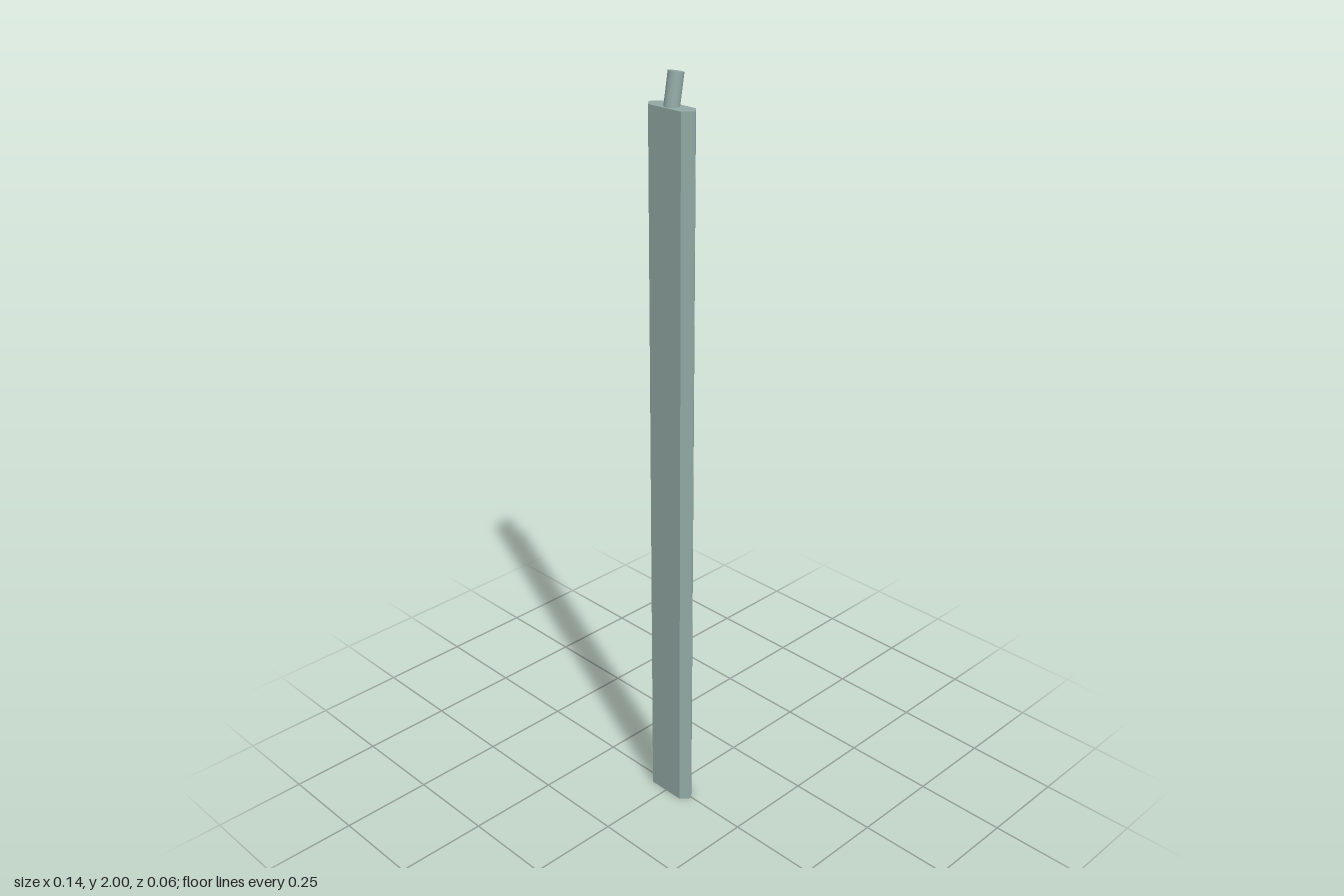
import * as THREE from 'three';

export function createModel() {
  const model = new THREE.Group();
  const material = new THREE.MeshStandardMaterial({ color: 0x92a9a5 });

  // Long bar: chamfered flat section, extruded upward (shape y becomes -z)
  const section = new THREE.Shape([
    [-0.053, -0.028], [0.053, -0.028], [0.072, -0.0075], [0.072, -0.0005],
    [0.053, 0.02], [-0.053, 0.02], [-0.072, -0.0005], [-0.072, -0.0075],
  ].map(([x, y]) => new THREE.Vector2(x, y)));
  const barGeometry = new THREE.ExtrudeGeometry(section, { depth: 1.92, bevelEnabled: false });
  barGeometry.rotateX(-Math.PI / 2);
  const bar = new THREE.Mesh(barGeometry, material);
  bar.name = 'bar';
  model.add(bar);

  // Round peg on top, leaning backward, its foot sunk into the bar
  const tilt = THREE.MathUtils.degToRad(10);
  const length = 0.1;
  const pegGeometry = new THREE.CylinderGeometry(0.019, 0.019, length, 32);
  pegGeometry.translate(0, -length / 2, 0);
  const peg = new THREE.Mesh(pegGeometry, material);
  peg.name = 'peg';
  peg.rotation.x = -tilt;
  peg.position.set(0, 2 - 0.019 * Math.sin(tilt), -0.0093);
  model.add(peg);

  return model;
}
